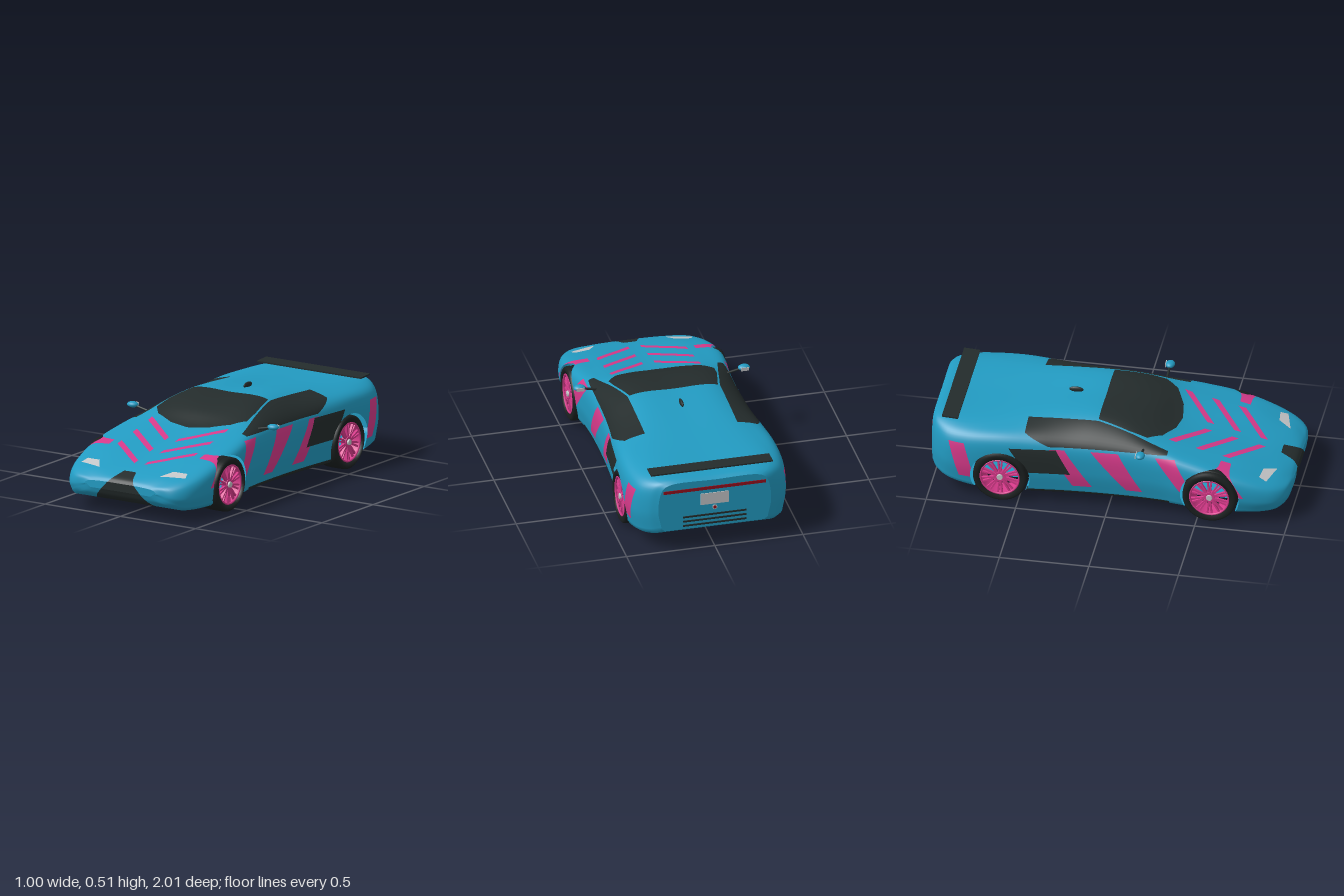
import * as THREE from 'three';

const mat = (name, color, side = THREE.DoubleSide) => {
  const m = new THREE.MeshStandardMaterial({ color, side });
  m.name = name;
  return m;
};
const blue = mat('blue paint', 0x229bc2);
const pink = mat('pink paint', 0xd63a8a);
const black = mat('black trim', 0x242c2c);
const rubber = mat('tyre rubber', 0x1b2020);
const grey = mat('light grey', 0xc4c6c8);
const red = mat('red lamp', 0x960f1c);

// Body stations: z, half width, floor y, centre top y, roof edge x, roof edge y, shoulder y
const stations = [
  [1.0, .24, .14, .185, .15, .183, .175],
  [.98, .33, .10, .205, .2, .2, .185],
  [.93, .385, .07, .225, .24, .225, .2],
  [.85, .42, .062, .25, .27, .25, .225],
  [.72, .442, .06, .28, .29, .29, .265],
  [.57, .447, .06, .315, .29, .325, .305],
  [.42, .435, .06, .35, .29, .36, .335],
  [.32, .42, .06, .38, .29, .385, .355],
  [.2, .412, .06, .435, .29, .42, .365],
  [.08, .41, .06, .466, .265, .455, .37],
  [-.08, .412, .06, .485, .25, .475, .375],
  [-.25, .42, .06, .48, .25, .47, .38],
  [-.42, .435, .06, .465, .27, .455, .39],
  [-.6, .45, .06, .45, .31, .44, .395],
  [-.78, .45, .072, .44, .34, .432, .385],
  [-.9, .425, .092, .437, .33, .43, .38],
  [-.97, .37, .11, .434, .3, .425, .385],
  [-1, .32, .13, .42, .26, .415, .385],
];

// One closed cross-section: curved over the top, straight along the floor
function ring([z, w, yb, yt, rx, ry, sy]) {
  const half = [[w - .02, yb + .015], [w, (sy + yb) / 2], [w - .022, sy], [rx, ry]];
  const pts = [...half.map(([x, y]) => [-x, y]), [0, yt], ...half.slice().reverse()];
  const out = new THREE.CatmullRomCurve3(pts.map(([x, y]) => new THREE.Vector3(x, y, z))).getPoints(64);
  for (let k = 0; k <= 12; k++) out.push(new THREE.Vector3((w - .04) * (1 - k / 6), yb, z));
  return out;
}

// Body skin as a list of polygons; each corner is [x, y, z, nx, ny, nz]
function bodyPolygons() {
  const rings = stations.map(ring), n = rings[0].length, rows = (stations.length - 1) * 5;
  const columns = rings[0].map((_, j) => new THREE.CatmullRomCurve3(rings.map(r => r[j])).getPoints(rows));
  const pos = [], idx = [];
  for (let i = 0; i <= rows; i++) for (let j = 0; j < n; j++) pos.push(...columns[j][i].toArray());
  for (let i = 0; i < rows; i++) for (let j = 0; j < n; j++) {
    const k = (j + 1) % n, a = i * n + j, b = i * n + k;
    idx.push(a, b, a + n, b, b + n, a + n);
  }
  const g = new THREE.BufferGeometry();
  g.setAttribute('position', new THREE.Float32BufferAttribute(pos, 3));
  g.setIndex(idx);
  g.computeVertexNormals();
  const P = g.attributes.position.array, N = g.attributes.normal.array;
  const corner = v => [...P.slice(v * 3, v * 3 + 3), ...N.slice(v * 3, v * 3 + 3)];
  const polys = [];
  for (let t = 0; t < idx.length; t += 3) polys.push([corner(idx[t]), corner(idx[t + 1]), corner(idx[t + 2])]);
  // Flat nose and tail caps
  for (const [i, s, y] of [[0, 1, .165], [rows, -1, .28]]) for (let j = 0; j < n; j++) {
    const p = c => [...corner(i * n + c).slice(0, 3), 0, 0, s];
    const a = p(j), b = p((j + 1) % n), c = [0, y, s, 0, 0, s];
    polys.push(s > 0 ? [c, b, a] : [c, a, b]);
  }
  return polys;
}

// Keep the part of a polygon where sign * f >= 0
function clip(poly, f, sign) {
  const out = [];
  poly.forEach((a, i) => {
    const b = poly[(i + 1) % poly.length], fa = sign * f(a), fb = sign * f(b);
    if (fa >= 0) out.push(a);
    if ((fa > 0 && fb < 0) || (fa < 0 && fb > 0)) out.push(a.map((v, k) => v + (b[k] - v) * fa / (fa - fb)));
  });
  return out;
}

// Split polygons into those inside all the limits and the rest
function split(polys, limits) {
  const rest = [];
  let inside = polys;
  for (const f of limits) {
    const next = [];
    for (const p of inside) {
      const i = clip(p, f, 1), o = clip(p, f, -1);
      if (i.length > 2) next.push(i);
      if (o.length > 2) rest.push(o);
    }
    inside = next;
  }
  return [inside, rest];
}

// Limits for a convex outline projected along one axis, mirrored in x
function outline(u, v, pts) {
  const get = (p, k) => (k === 0 ? Math.abs(p[0]) : p[k]);
  const cu = pts.reduce((s, p) => s + p[0], 0) / pts.length, cv = pts.reduce((s, p) => s + p[1], 0) / pts.length;
  return pts.map(([a, b], i) => {
    const [c, d] = pts[(i + 1) % pts.length];
    const side = (x, y) => (c - a) * (y - b) - (d - b) * (x - a);
    const s = Math.sign(side(cu, cv));
    return p => s * side(get(p, u), get(p, v));
  });
}
const wide = x => p => Math.abs(p[0]) - x;
const above = y => p => p[1] - y;
const onSide = pts => [wide(.3), ...outline(2, 1, pts)];
const onTop = pts => [above(.2), ...outline(0, 2, pts)];

function polyMesh(name, polys, material) {
  const pos = [], nor = [];
  for (const p of polys) for (let i = 1; i < p.length - 1; i++) for (const v of [p[0], p[i], p[i + 1]]) {
    pos.push(v[0], v[1], v[2]);
    nor.push(v[3], v[4], v[5]);
  }
  const g = new THREE.BufferGeometry();
  g.setAttribute('position', new THREE.Float32BufferAttribute(pos, 3));
  g.setAttribute('normal', new THREE.Float32BufferAttribute(nor, 3));
  const m = new THREE.Mesh(g, material);
  m.name = name;
  return m;
}

function add(parent, name, geometry, material, x = 0, y = 0, z = 0) {
  const m = new THREE.Mesh(geometry, material);
  m.name = name;
  m.position.set(x, y, z);
  parent.add(m);
  return m;
}
const box = (x, y, z) => new THREE.BoxGeometry(x, y, z);

function makeWheel() {
  const wheel = new THREE.Group(), spin = new THREE.Group();
  wheel.name = 'wheel';
  spin.rotation.z = -Math.PI / 2;
  wheel.add(spin);
  const profile = [[.112, -.06], [.138, -.067], [.15, -.055], [.152, -.03], [.147, -.026], [.147, -.02], [.152, -.016],
    [.152, .016], [.147, .02], [.147, .026], [.152, .03], [.15, .055], [.138, .066], [.112, .06], [.112, -.06]];
  add(spin, 'tyre', new THREE.LatheGeometry(profile.map(p => new THREE.Vector2(...p)), 48), rubber);
  add(spin, 'rimBarrel', new THREE.CylinderGeometry(.111, .111, .11, 40, 1, true), pink);
  add(spin, 'rimLip', new THREE.TorusGeometry(.108, .006, 8, 40), pink, 0, .056).rotation.x = Math.PI / 2;
  for (let i = 0; i < 20; i++) {
    const arm = new THREE.Group();
    arm.name = 'spokeArm';
    arm.rotation.y = (Math.floor(i / 2) + (i % 2 ? .17 : -.17)) * Math.PI / 5;
    add(arm, 'spoke', box(.092, .014, .009), pink, .064, .045);
    spin.add(arm);
  }
  add(spin, 'hub', new THREE.CylinderGeometry(.03, .034, .03, 20), pink, 0, .04);
  add(spin, 'hubCap', new THREE.CylinderGeometry(.016, .018, .012, 16), grey, 0, .058);
  return wheel;
}

export function createModel() {
  const car = new THREE.Group();
  car.name = 'sportsCar';

  // Cut the wheel arches and the painted regions out of the body skin
  let skin = bodyPolygons(), cut;
  for (const z of [.57, -.6]) skin = split(skin, [wide(.28), p => .165 - Math.hypot(p[2] - z, p[1] - .152)])[1];
  const regions = [
    ['windshield', black, onTop([[-1, -.08], [.25, -.08], [.29, .1], [.3, .2], [.24, .275], [.12, .328], [0, .345], [-1, .345]])],
    ['sideWindow', black, [above(.367), p => p[1] - .367 + (p[2] + .33) * .4,
      ...outline(0, 2, [[.262, -.47], [.44, -.47], [.44, .325], [.35, .325], [.31, .15], [.262, -.08]])]],
    ['noseGrille', black, [p => p[2] - .88, p => .235 - p[1], p => .04 + (.235 - p[1]) * .95 - Math.abs(p[0])]],
    ['sill', black, [wide(.36), p => .085 - p[1], p => .34 - p[2], p => p[2] + .46]],
    ['headlight', grey, onTop([[.33, .83], [.345, .872], [.2, .91], [.245, .84]])],
    ['sideIntake', black, onSide([[-.29, .35], [-.55, .35], [-.45, .2], [-.21, .2]])],
    ['noseStripe', pink, onSide([[.66, .315], [.585, .315], [.7, .17], [.76, .17]])],
    ['frontStripe', pink, onSide([[.37, .353], [.26, .353], [.4, .17], [.48, .17]])],
    ['doorStripe', pink, onSide([[.053, .353], [-.1, .353], [.1, .123], [.19, .123]])],
    ['rearDoorStripe', pink, onSide([[-.245, .353], [-.33, .353], [-.2, .123], [-.09, .123]])],
    ['tailStripe', pink, onSide([[-.8, .353], [-.89, .353], [-.83, .14], [-.74, .14]])],
    ...[.31, .46, .61].map(z => ['hoodStripe', pink, onTop([[.255, z], [.255, z + .042], [.033, z + .205], [.033, z + .165]])]),
  ];
  for (const [name, material, limits] of regions) {
    [cut, skin] = split(skin, limits);
    car.add(polyMesh(name, cut, material));
  }
  car.add(polyMesh('bodyShell', skin, blue));

  // Wheels, mirrors and spoiler posts on both sides
  for (const s of [1, -1]) {
    for (const z of [.57, -.6]) {
      const wheel = makeWheel();
      wheel.position.set(s * .378, .153, z);
      if (s < 0) wheel.rotation.y = Math.PI;
      car.add(wheel);
    }
    const arm = add(car, 'mirrorArm', new THREE.CylinderGeometry(.007, .007, .11, 8), black, s * .405, .39, .19);
    arm.rotation.z = -s * 1.35;
    add(car, 'mirrorHousing', new THREE.SphereGeometry(1, 20, 12), blue, s * .466, .405, .19).scale.set(.034, .017, .026);
    add(car, 'mirrorGlass', box(.046, .02, .004), grey, s * .466, .405, .166);
    add(car, 'spoilerPost', box(.012, .024, .04), black, s * .22, .443, -.895);
  }

  // Spoiler and roof antenna
  add(car, 'spoiler', box(.69, .008, .09), black, 0, .453, -.895).rotation.x = .06;
  add(car, 'antenna', new THREE.SphereGeometry(1, 16, 10), black, 0, .49, -.25).scale.set(.01, .017, .04);

  // Tail panel
  add(car, 'tailLight', box(.58, .018, .008), red, 0, .372, -1);
  add(car, 'plate', box(.16, .07, .008), grey, 0, .305, -1);
  add(car, 'tailBadge', new THREE.CylinderGeometry(.014, .014, .008, 16), grey, 0, .248, -1).rotation.x = Math.PI / 2;
  add(car, 'fogLamp', new THREE.CylinderGeometry(.009, .009, .008, 16), red, 0, .248, -1.002).rotation.x = Math.PI / 2;
  for (const y of [.205, .178, .151]) add(car, 'tailVent', box(.36, .01, .008), black, 0, y, -1);

  // Fins under the tail
  for (const x of [-.18, -.06, .06, .18]) add(car, 'diffuserFin', box(.01, .02, .09), black, x, .072, -.78);
  return car;
}
